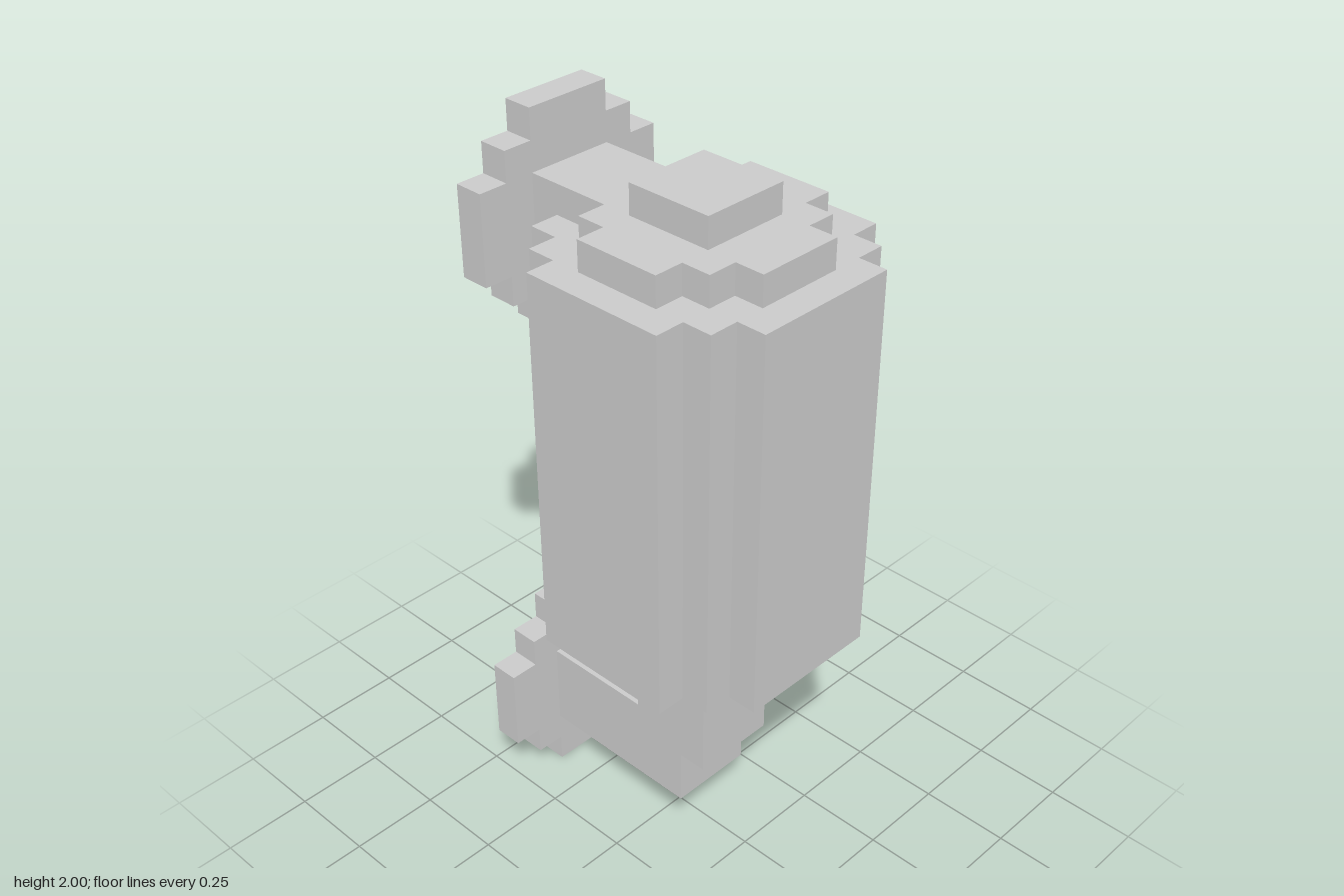
import * as THREE from 'three';

const U = 0.08; // one block step

// Stepped round outline: r is the outer half-width, the flat side has half-width r - 2U
function steppedDisc(r) {
  const f = r - 2 * U;
  const quarter = [[r, f], [r - U, f], [r - U, f + U], [f, f + U], [f, r]];
  const pts = [];
  for (let q = 0; q < 4; q++) {
    const c = [1, 0, -1, 0][q], s = [0, 1, 0, -1][q];
    for (const [x, y] of quarter) pts.push(new THREE.Vector2(x * c - y * s, x * s + y * c));
  }
  return new THREE.Shape(pts);
}

// Extrusion centred on its own depth
function extrude(shape, depth) {
  return new THREE.ExtrudeGeometry(shape, { depth, bevelEnabled: false }).translate(0, 0, -depth / 2);
}

export function createModel() {
  const group = new THREE.Group();
  const material = new THREE.MeshStandardMaterial({ color: 0xcccccc, flatShading: true });
  const add = (name, geometry, x, y, z) => {
    const mesh = new THREE.Mesh(geometry, material);
    mesh.name = name;
    mesh.position.set(x, y, z);
    group.add(mesh);
  };

  // Upright stepped cylinder with a smaller cap at each end
  const column = (name, r, y0, y1) =>
    add(name, extrude(steppedDisc(r), y1 - y0).rotateX(-Math.PI / 2), 0, (y0 + y1) / 2, 0.08);
  column('body', 0.36, 0.72, 1.76);
  column('topCap', 0.28, 1.76, 1.84);
  column('bottomCap', 0.28, 0.64, 0.72);
  add('topKnob', new THREE.BoxGeometry(0.24, 0.08, 0.24), 0, 1.88, 0.08);

  // Round mounting plates at the back
  for (const [name, y] of [['upperPlate', 1.72], ['lowerPlate', 0.28]]) {
    add(name, extrude(steppedDisc(0.28), 0.08), 0, y, -0.4);
  }

  // Straight arm from the upper plate into the body
  add('upperArm', new THREE.BoxGeometry(0.24, 0.24, 0.16), 0, 1.72, -0.28);

  // Elbow from the lower plate up to the bottom cap, side profile as (z, y)
  const elbow = [[-0.36, 0.16], [0.12, 0.16], [0.12, 0.32], [0.2, 0.32],
    [0.2, 0.64], [-0.04, 0.64], [-0.04, 0.4], [-0.36, 0.4]];
  const profile = new THREE.Shape(elbow.map(([z, y]) => new THREE.Vector2(z, y)));
  add('lowerElbow', extrude(profile, 0.24).rotateY(-Math.PI / 2), 0, 0, 0);

  return group;
}
